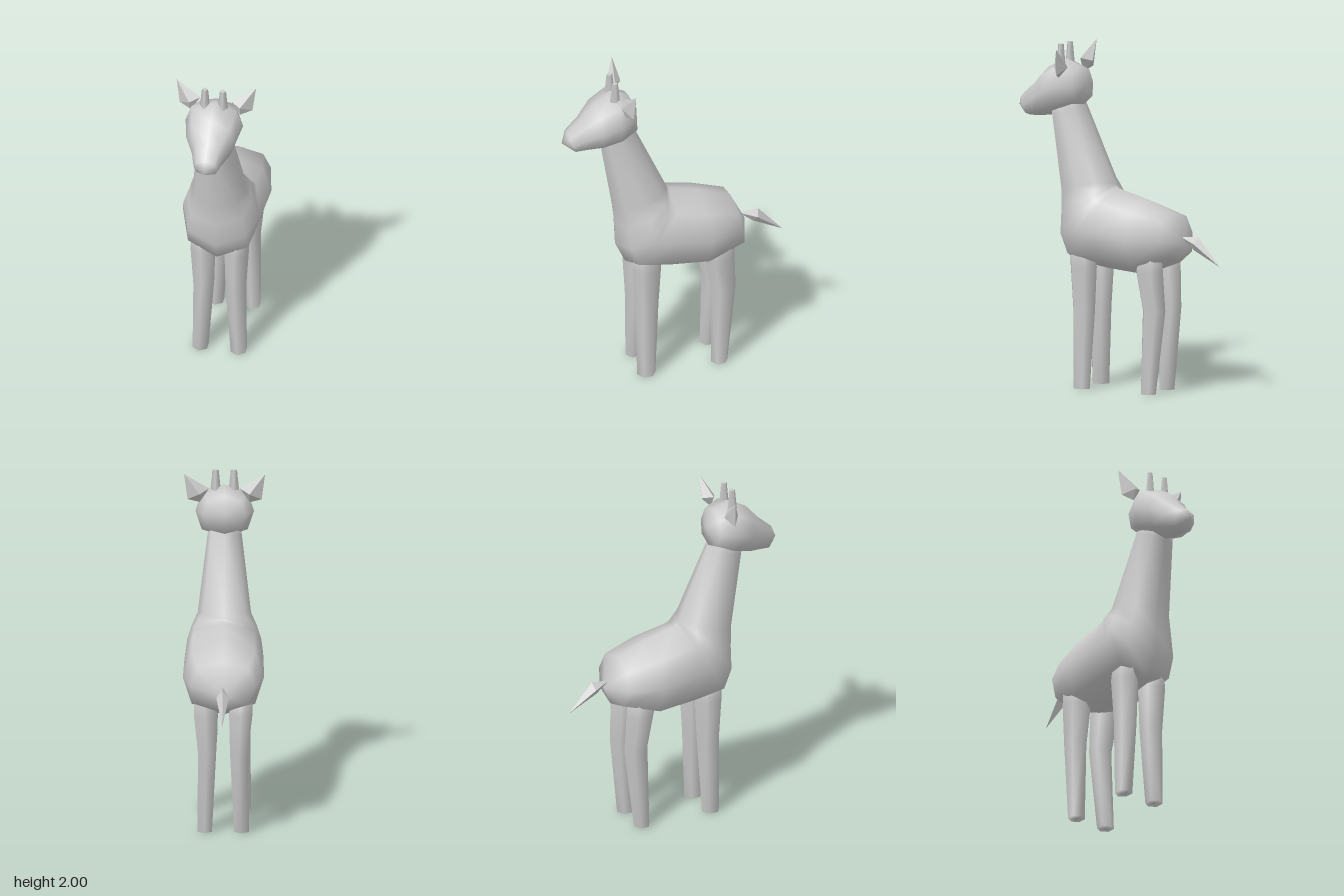
import * as THREE from 'three';

const V = (x, y, z) => new THREE.Vector3(x, y, z);
const material = new THREE.MeshStandardMaterial({ color: 0xcccccc });

// Closed skin through rings of points, ending in a single point on each side.
function loft(start, rings, end, flat = false) {
  const n = rings[0].length;
  const points = [start, ...rings.flat(), end];
  const last = points.length - 1;
  const at = (r, i) => 1 + r * n + (i % n);
  let index = [];
  for (let i = 0; i < n; i++) {
    index.push(0, at(0, i + 1), at(0, i));
    for (let r = 0; r < rings.length - 1; r++) {
      index.push(at(r, i), at(r, i + 1), at(r + 1, i));
      index.push(at(r, i + 1), at(r + 1, i + 1), at(r + 1, i));
    }
    index.push(last, at(rings.length - 1, i), at(rings.length - 1, i + 1));
  }
  // Turn the faces outward when the enclosed volume is negative.
  let volume = 0;
  const cross = V(0, 0, 0);
  for (let i = 0; i < index.length; i += 3) {
    cross.crossVectors(points[index[i + 1]], points[index[i + 2]]);
    volume += points[index[i]].dot(cross);
  }
  if (volume < 0) index.reverse();
  let geometry = new THREE.BufferGeometry().setFromPoints(points).setIndex(index);
  if (flat) geometry = geometry.toNonIndexed();
  geometry.computeVertexNormals();
  return geometry;
}

// Symmetric ring between a lower and an upper point of the side profile.
function ring([bz, by, tz, ty, w], sides = 8, power = 0.7) {
  return Array.from({ length: sides }, (_, i) => {
    const a = (i / sides) * Math.PI * 2;
    const s = Math.sin(a), t = (1 - Math.cos(a)) / 2;
    const x = Math.sign(Math.round(s * 1e6)) * w * Math.pow(Math.abs(s), power);
    return V(x, by + (ty - by) * t, bz + (tz - bz) * t);
  });
}

// Six-sided leg ring: height, x range and z range.
function legRing(side, [y, x0, x1, z0, z1]) {
  return Array.from({ length: 6 }, (_, i) => {
    const a = (i / 6) * Math.PI * 2;
    const x = (x0 + x1) / 2 + (Math.sin(a) / 0.866) * (x1 - x0) / 2;
    return V(side * x, y, (z0 + z1) / 2 + Math.cos(a) * (z1 - z0) / 2);
  });
}

export function createModel() {
  const model = new THREE.Group();
  const add = (name, geometry) => {
    const mesh = new THREE.Mesh(geometry, material);
    mesh.name = name;
    model.add(mesh);
    return mesh;
  };

  // Body and neck in one skin; the rings fan around the shoulder up into the head.
  const body = [
    [-0.40, 0.77, -0.35, 1.06, 0.19],
    [-0.17, 0.68, -0.16, 1.13, 0.235],
    [0.09, 0.70, 0.02, 1.175, 0.23],
    [0.29, 0.73, 0.03, 1.185, 0.225],
    [0.35, 0.86, 0.035, 1.19, 0.215],
    [0.355, 1.01, 0.04, 1.20, 0.19],
    [0.37, 1.14, 0.05, 1.225, 0.155],
    [0.44, 1.57, 0.24, 1.65, 0.10],
    [0.45, 1.63, 0.28, 1.72, 0.09],
  ];
  add('bodyAndNeck', loft(V(0, 0.88, -0.44), body.map(r => ring(r)), V(0, 1.70, 0.37)));

  // Head, from the nape to the nose
  const head = [
    [0.24, 1.65, 0.27, 1.87, 0.125],
    [0.34, 1.60, 0.37, 1.91, 0.17],
    [0.45, 1.57, 0.48, 1.85, 0.145],
    [0.54, 1.56, 0.56, 1.76, 0.095],
    [0.60, 1.557, 0.645, 1.685, 0.07],
  ];
  add('head', loft(V(0, 1.77, 0.22), head.map(r => ring(r)), V(0, 1.615, 0.675)));

  // Leg rings from foot to hip
  const frontLeg = [
    [0, 0.07, 0.155, 0.14, 0.25],
    [0.46, 0.04, 0.15, 0.115, 0.26],
    [0.72, 0.035, 0.165, 0.10, 0.275],
    [0.84, 0.06, 0.16, 0.12, 0.27],
  ];
  const hindLeg = [
    [0, 0.065, 0.15, -0.30, -0.20],
    [0.49, 0.04, 0.145, -0.355, -0.205],
    [0.72, 0.035, 0.17, -0.345, -0.165],
    [0.84, 0.06, 0.165, -0.34, -0.18],
  ];

  for (const side of [1, -1]) {
    const label = side > 0 ? 'left' : 'right';
    for (const [name, rows] of [['FrontLeg', frontLeg], ['HindLeg', hindLeg]]) {
      const z = (rows[0][3] + rows[0][4]) / 2;
      add(label + name, loft(V(side * 0.11, 0, z), rows.map(r => legRing(side, r)), V(side * 0.11, 0.88, z)));
    }

    // Ear: a thin four-cornered leaf with a ridge on each face
    const rim = [
      V(side * 0.09, 1.90, 0.32), V(side * 0.235, 1.995, 0.295),
      V(side * 0.215, 1.84, 0.305), V(side * 0.145, 1.815, 0.33),
    ];
    add(label + 'Ear', loft(V(side * 0.15, 1.88, 0.355), [rim], V(side * 0.145, 1.88, 0.27), true));

    // Horn
    const horn = add(label + 'Horn', new THREE.CylinderGeometry(0.018, 0.032, 0.14, 4));
    horn.position.set(side * 0.053, 1.93, 0.367);
  }

  // Tail: a narrow pointed diamond
  const tailRing = [V(0, 0.93, -0.52), V(0.036, 0.89, -0.51), V(0, 0.85, -0.49), V(-0.036, 0.89, -0.51)];
  add('tail', loft(V(0, 0.92, -0.405), [tailRing], V(0, 0.76, -0.67), true));

  return model;
}
